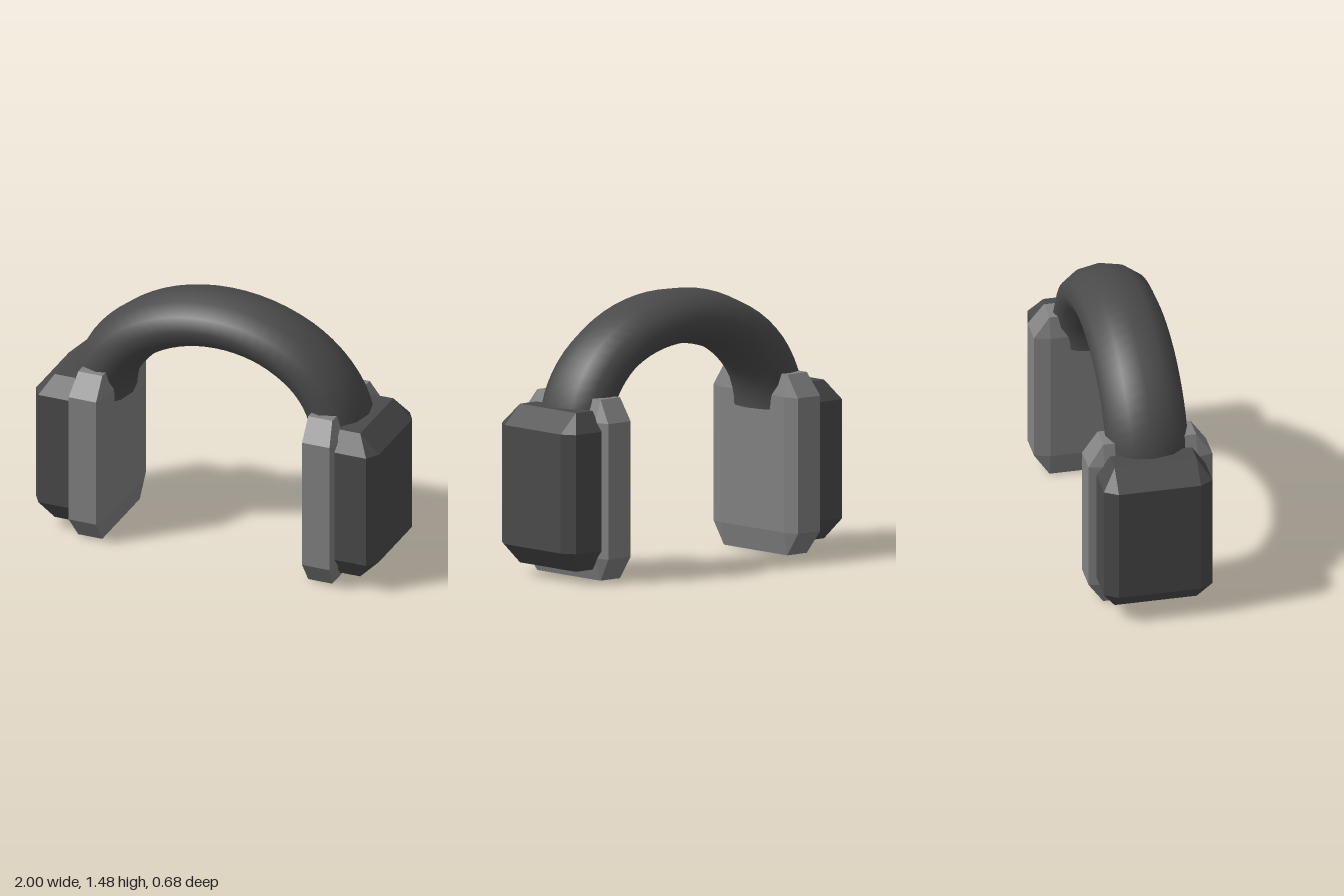
import * as THREE from 'three';
import { ConvexGeometry } from 'three/addons/geometries/ConvexGeometry.js';
import { ParametricGeometry } from 'three/addons/geometries/ParametricGeometry.js';

const dark = new THREE.MeshStandardMaterial({ color: 0x4a4a4a, flatShading: true });
const light = new THREE.MeshStandardMaterial({ color: 0x828282, flatShading: true });
const smooth = new THREE.MeshStandardMaterial({ color: 0x4a4a4a, side: THREE.DoubleSide });

// Box with all edges chamfered: six rectangular faces, joined by their hull.
// x, y, z are [min, max]; zFaceX and yFaceX are the x spans of the front/back and top/bottom faces,
// flatY and flatZ are the spans left flat between the chamfers.
function chamferedBox({ side, x, y, z, zFaceX, yFaceX, flatY, flatZ }) {
  const points = [];
  for (const i of [0, 1]) for (const j of [0, 1]) for (const k of [0, 1]) {
    const cx = (v) => side * v[i];
    points.push(
      new THREE.Vector3(cx(x), flatY[j], flatZ[k]),
      new THREE.Vector3(cx(zFaceX), flatY[j], z[k]),
      new THREE.Vector3(cx(yFaceX), y[j], flatZ[k]),
    );
  }
  return new ConvexGeometry(points);
}

function add(group, name, geometry, material) {
  const mesh = new THREE.Mesh(geometry, material);
  mesh.name = name;
  group.add(mesh);
}

// Point on the headband: u runs along the arch, a around the section, k scales the section
function bandPoint(u, a, k, target) {
  const t = Math.PI * u;
  const c = k * Math.cos(a);
  return target.set(
    (0.695 + 0.165 * c) * Math.cos(t),
    0.78 + (0.55 + 0.15 * c) * Math.sin(t),
    0.225 * k * Math.sin(a),
  );
}

export function createModel() {
  const group = new THREE.Group();

  // Arched headband with a twelve-sided section
  const band = new ParametricGeometry(
    (u, v, target) => bandPoint(u, 2 * Math.PI * v, 1, target), 32, 12);
  add(group, 'headband', band, smooth);

  for (const [side, label] of [[1, 'left'], [-1, 'right']]) {
    // Cap closing the end of the band
    const cap = new ParametricGeometry(
      (u, v, target) => bandPoint(side > 0 ? 0 : 1, 2 * Math.PI * v, u, target), 1, 12);
    add(group, label + 'BandEnd', cap, smooth);

    // Cushion facing the ear
    add(group, label + 'EarPad', chamferedBox({
      side, x: [0.575, 0.78], y: [0, 0.98], z: [-0.34, 0.34],
      zFaceX: [0.6, 0.76], yFaceX: [0.6, 0.74],
      flatY: [0.125, 0.86], flatZ: [-0.255, 0.255],
    }), light);

    // Outer shell
    add(group, label + 'EarCup', chamferedBox({
      side, x: [0.72, 1], y: [0.06, 0.92], z: [-0.298, 0.298],
      zFaceX: [0.77, 0.955], yFaceX: [0.77, 0.89],
      flatY: [0.17, 0.815], flatZ: [-0.225, 0.225],
    }), dark);
  }
  return group;
}
